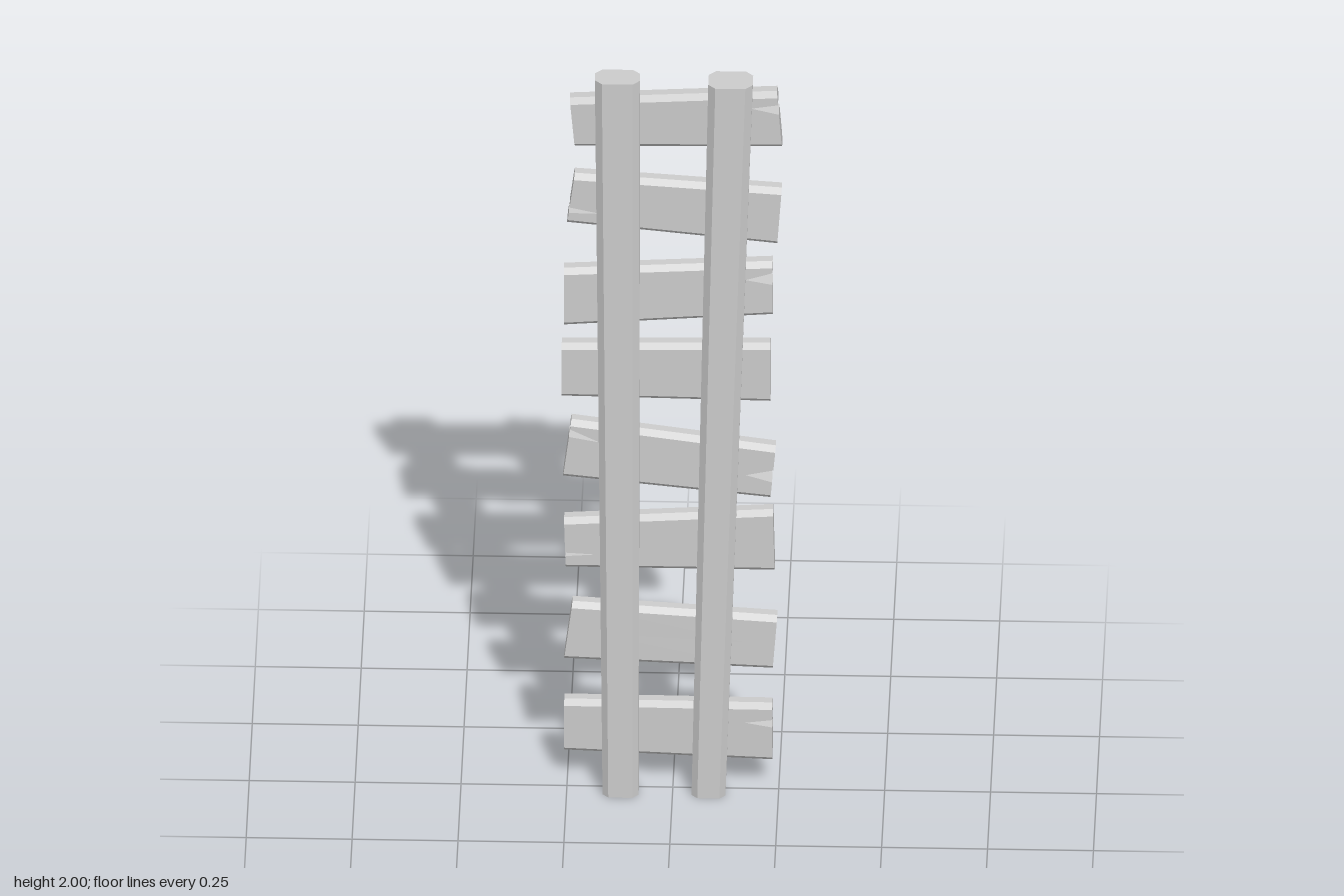
import * as THREE from 'three';

const material = new THREE.MeshStandardMaterial({ color: 0xcccccc, flatShading: true });
const lerp = THREE.MathUtils.lerp;

// Skins a list of rings (Vector3 loops); skip(segment, edge) leaves out hidden quads.
function loft(rings, out, skip = () => false) {
  const n = rings[0].length;
  const tri = (...pts) => pts.forEach((p) => out.push(p.x, p.y, p.z));
  for (let s = 0; s < rings.length - 1; s++) {
    for (let i = 0; i < n; i++) {
      if (skip(s, i)) continue;
      const j = (i + 1) % n;
      const a = rings[s][i], b = rings[s][j], c = rings[s + 1][j], d = rings[s + 1][i];
      tri(a, b, c);
      tri(a, c, d);
    }
  }
  const first = rings[0], last = rings[rings.length - 1];
  for (let i = 1; i < n - 1; i++) {
    tri(first[0], first[i + 1], first[i]);
    tri(last[0], last[i], last[i + 1]);
  }
}

function makeMesh(positions, name) {
  const geometry = new THREE.BufferGeometry();
  geometry.setAttribute('position', new THREE.Float32BufferAttribute(positions, 3));
  geometry.computeVertexNormals();
  const mesh = new THREE.Mesh(geometry, material);
  mesh.name = name;
  return mesh;
}

// Upright rail: chamfered rectangle at the foot and at the top, [x0, x1, z0, z1]
function makeRail(foot, top, name) {
  const ring = ([x0, x1, z0, z1], y, c) => [
    [x0, z0 + c], [x0 + c, z0], [x1 - c, z0], [x1, z0 + c],
    [x1, z1 - c], [x1 - c, z1], [x0 + c, z1], [x0, z1 - c],
  ].reverse().map(([x, z]) => new THREE.Vector3(x, y, z));
  const out = [];
  loft([ring(foot, 0, 0.014), ring(top, 2, 0.017)], out);
  return makeMesh(out, name);
}

// Plank end: [bottom x, bottom y, top x, top y, middle z]
// Crack: [height at its tip, lower lip, upper lip], as fractions of the plank's height
function makePlank({ a, b, crackA, crackB }, name) {
  const half = 0.024, chamfer = 0.013;
  const tipA = crackA ? crackA[0] : crackB ? crackB[0] : 0.5;
  const tipB = crackB ? crackB[0] : tipA;
  const stations = [
    { t: 0, lo: crackA ? crackA[1] : tipA, hi: crackA ? crackA[2] : tipA },
    { t: 0.15, lo: tipA, hi: tipA },
    { t: 0.87, lo: tipB, hi: tipB },
    { t: 1, lo: crackB ? crackB[1] : tipB, hi: crackB ? crackB[2] : tipB },
  ];
  const section = ({ t, lo, hi }, upper) => {
    const e = a.map((v, i) => lerp(v, b[i], t));
    const k = chamfer / (e[3] - e[1]), h = half, m = half - chamfer;
    const pts = upper
      ? [[hi, -h], [1 - k, -h], [1, -m], [1, m], [1 - k, h], [hi, h]]
      : [[lo, h], [k, h], [0, m], [0, -m], [k, -h], [lo, -h]];
    return pts.map(([f, z]) => new THREE.Vector3(lerp(e[0], e[2], f), lerp(e[1], e[3], f), e[4] + z));
  };
  // The two halves meet along the crack line; their inner faces show only in a crack.
  const hidden = (s, i) => i === 5 && !((s === 0 && crackA) || (s === 2 && crackB));
  const out = [];
  for (const upper of [false, true]) loft(stations.map((s) => section(s, upper)), out, hidden);
  return makeMesh(out, name);
}

export function createModel() {
  const group = new THREE.Group();
  group.name = 'ladder';

  // Two slightly leaning rails
  group.add(makeRail([-0.165, -0.08, 0, 0.05], [-0.183, -0.077, -0.01, 0.055], 'rightRail'));
  group.add(makeRail([0.045, 0.125, -0.002, 0.047], [0.085, 0.19, -0.01, 0.067], 'leftRail'));

  // Crooked planks from bottom to top, a = right end, b = left end
  const planks = [
    { a: [-0.257, 0.085, -0.257, 0.228, -0.036], b: [0.235, 0.085, 0.235, 0.244, -0.007], crackB: [0.68, 0.61, 0.74] },
    { a: [-0.257, 0.355, -0.237, 0.515, -0.015], b: [0.235, 0.324, 0.246, 0.472, -0.034] },
    { a: [-0.253, 0.605, -0.257, 0.743, -0.024], b: [0.24, 0.605, 0.236, 0.775, -0.024], crackA: [0.3, 0.27, 0.34] },
    { a: [-0.26, 0.854, -0.24, 1.013, -0.033], b: [0.23, 0.812, 0.243, 0.957, -0.018],
      crackA: [0.7, 0.73, 0.86], crackB: [0.42, 0.34, 0.57] },
    { a: [-0.263, 1.077, -0.263, 1.225, -0.034], b: [0.23, 1.077, 0.23, 1.24, -0.025] },
    { a: [-0.257, 1.294, -0.257, 1.453, -0.006], b: [0.235, 1.31, 0.235, 1.459, -0.041], crackB: [0.71, 0.6, 0.82] },
    { a: [-0.25, 1.57, -0.232, 1.708, -0.024], b: [0.246, 1.52, 0.257, 1.676, -0.023], crackA: [0.28, 0.24, 0.35] },
    { a: [-0.232, 1.77, -0.244, 1.905, -0.045], b: [0.258, 1.798, 0.246, 1.953, -0.013], crackB: [0.74, 0.62, 0.79] },
  ];
  planks.forEach((p, i) => group.add(makePlank(p, `plank${i + 1}`)));

  return group;
}
